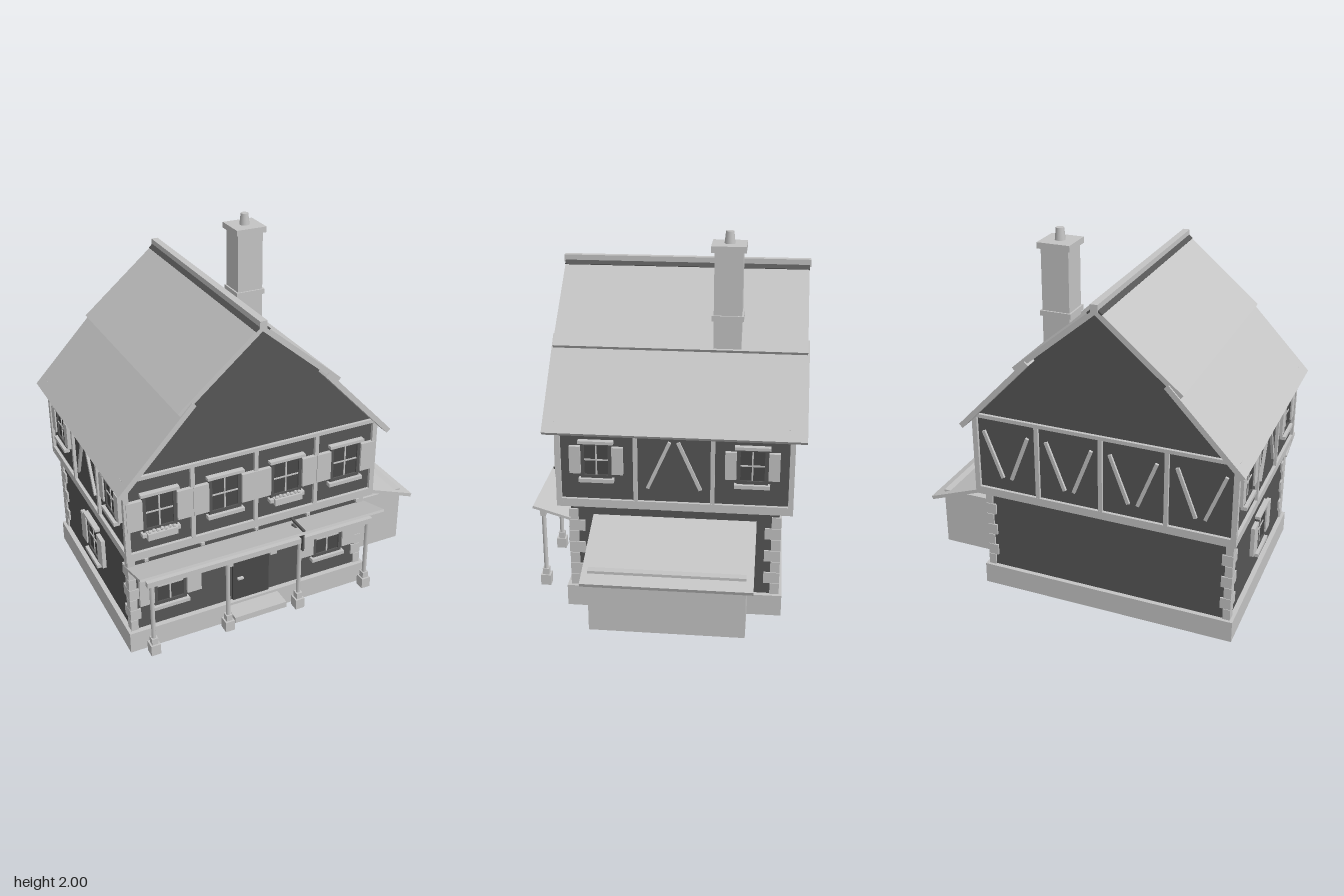
import * as THREE from 'three';

const mat = (name, color) => Object.assign(new THREE.MeshStandardMaterial({ color }), { name });

export function createModel() {
  const light = mat('pale plaster', 0xc4c4c4);
  const dark = mat('dark wall', 0x565656);
  const glass = mat('window glass', 0x484848);
  const CX = -0.185, CZ = -0.04;
  const house = new THREE.Group();
  house.name = 'house';

  function add(name, geo, m, parent = house) {
    const mesh = new THREE.Mesh(geo, m);
    mesh.name = name;
    parent.add(mesh);
    return mesh;
  }
  // box given by its limits
  function box(name, m, x0, x1, y0, y1, z0, z1, parent) {
    const b = add(name, new THREE.BoxGeometry(x1 - x0, y1 - y0, z1 - z0), m, parent);
    b.position.set((x0 + x1) / 2, (y0 + y1) / 2, (z0 + z1) / 2);
    return b;
  }
  // polygon extruded along z
  function prism(name, m, pts, z0, z1) {
    const shape = new THREE.Shape(pts.map(p => new THREE.Vector2(p[0], p[1])));
    const geo = new THREE.ExtrudeGeometry(shape, { depth: z1 - z0, bevelEnabled: false });
    geo.translate(0, 0, z0);
    return add(name, geo, m);
  }
  // sloping sheet whose top runs between two points
  function slab(name, m, a, b, t, z0, z1) {
    const dx = b[0] - a[0], dy = b[1] - a[1], l = Math.hypot(dx, dy);
    let nx = dy / l * t, ny = -dx / l * t;
    if (ny > 0) { nx = -nx; ny = -ny; }
    return prism(name, m, [a, b, [b[0] + nx, b[1] + ny], [a[0] + nx, a[1] + ny]], z0, z1);
  }
  // wall frame: local x runs along the wall, local z points outward
  function wallFace(name, turn, dist) {
    const g = new THREE.Group();
    g.name = name;
    g.rotation.y = turn;
    g.position.set(CX + Math.sin(turn) * dist, 0, CZ + Math.cos(turn) * dist);
    house.add(g);
    return g;
  }
  function windowUnit(face, u, y, w, h, sw, flowers) {
    const g = new THREE.Group();
    g.name = 'window';
    g.position.set(u, y, 0);
    face.add(g);
    const a = w / 2, b = h / 2;
    box('glass', glass, -a, a, -b, b, -0.01, 0.006, g);
    for (const s of [-1, 1]) {
      box('frameSide', dark, s * (a - 0.009) - 0.009, s * (a - 0.009) + 0.009, -b, b, 0, 0.014, g);
      box('frameRail', dark, -a, a, s * (b - 0.009) - 0.009, s * (b - 0.009) + 0.009, 0, 0.014, g);
      const c = s * (a + sw / 2);
      box('shutter', light, c - sw / 2 + 0.002, c + sw / 2 - 0.002, -b + 0.025, b - 0.025, 0, 0.022, g);
    }
    box('mullion', light, -0.004, 0.004, -b, b, 0, 0.01, g);
    box('glazingBar', light, -a, a, -0.004, 0.004, 0, 0.01, g);
    box('header', light, -a - 0.012, a + 0.012, b - 0.006, b + 0.01, 0, 0.03, g);
    box('sill', light, -a - 0.012, a + 0.012, -b - 0.02, -b, 0, 0.032, g);
    if (flowers) {
      box('flowerBox', light, -a + 0.01, a - 0.01, -b - 0.032, -b + 0.005, 0.01, 0.05, g);
      for (let i = 0; i < 7; i++) {
        add('flower', new THREE.IcosahedronGeometry(0.011), light, g)
          .position.set((i - 3) * 0.022, -b + 0.01 + (i % 2) * 0.005, 0.035);
      }
    }
  }
  function brace(face, u0, y0, u1, y1) {
    const m = add('brace', new THREE.BoxGeometry(0.018, Math.hypot(u1 - u0, y1 - y0), 0.016), light, face);
    m.position.set((u0 + u1) / 2, (y0 + y1) / 2, 0.006);
    m.rotation.z = -Math.atan2(u1 - u0, y1 - y0);
  }

  // plinth, walls
  box('plinth', light, -0.897, 0.527, 0, 0.12, -0.615, 0.54);
  box('groundFloor', dark, CX - 0.685, CX + 0.685, 0.12, 0.6, CZ - 0.55, CZ + 0.55);
  box('upperFloor', dark, CX - 0.7, CX + 0.7, 0.602, 1.07, CZ - 0.6, CZ + 0.6);

  // corner stones
  for (const sx of [-1, 1]) for (const sz of [-1, 1]) for (let i = 0; i < 7; i++) {
    const w = i % 2 ? 0.058 : 0.04, d = i % 2 ? 0.085 : 0.05;
    const q = add('cornerStone', new THREE.BoxGeometry(w, 0.062, d), light);
    q.position.set(CX + sx * (0.695 - w / 2), 0.152 + i * 0.065, CZ + sz * (0.56 - d / 2));
  }

  // upper timber frame on all four sides
  const H = Math.PI / 2;
  const uppers = [0, H, 2 * H, 3 * H].map((turn, i) => {
    const along = i % 2 ? 0.617 : 0.718;
    const face = wallFace('upperFace', turn, i % 2 ? 0.7 : 0.6);
    box('sillBeam', light, -along, along, 0.6, 0.645, -0.02, 0.017, face);
    box('topPlate', light, -along, along, 1.055, 1.075, -0.02, 0.017, face);
    const studs = i % 2 ? [-0.2, 0.2] : [-0.352, 0, 0.352];
    for (const u of [...studs, -along + 0.011, along - 0.011])
      box('stud', light, u - 0.011, u + 0.011, 0.64, 1.06, -0.01, 0.0165, face);
    return face;
  });
  [-0.53, -0.175, 0.175, 0.53].forEach((u, i) => {
    windowUnit(uppers[0], u, 0.86, 0.18, 0.215, 0.088, i % 2 === 0);
    for (const s of [-1, 1]) brace(uppers[2], u + s * 0.025, 0.72, u + s * 0.125, 0.98);
  });
  for (const face of [uppers[1], uppers[3]]) for (const s of [-1, 1]) {
    windowUnit(face, s * 0.403, 0.868, 0.16, 0.2, 0.062);
    brace(face, s * 0.137, 0.72, s * 0.022, 0.98);
  }

  // ground floor windows
  const front = wallFace('groundFront', 0, 0.55);
  windowUnit(front, -0.47, 0.357, 0.18, 0.225, 0.085);
  windowUnit(front, 0.475, 0.357, 0.18, 0.225, 0.085);
  windowUnit(wallFace('groundSide', -H, 0.685), 0, 0.357, 0.18, 0.225, 0.085);

  // door with stone arch
  box('door', glass, -0.108, 0.108, 0.12, 0.445, -0.01, 0.012, front);
  box('doorHandle', light, -0.085, -0.05, 0.255, 0.265, 0.01, 0.028, front);
  for (let i = 0; i < 9; i++) {
    const a0 = i * Math.PI / 9 + 0.02, a1 = (i + 1) * Math.PI / 9 - 0.02;
    const s = new THREE.Shape();
    s.absarc(0, 0.355, 0.152, a0, a1, false);
    s.absarc(0, 0.355, 0.112, a1, a0, true);
    add('archStone', new THREE.ExtrudeGeometry(s, { depth: 0.025, bevelEnabled: false, curveSegments: 3 }), light, front);
  }
  box('doorStep', light, -0.34, -0.03, 0.07, 0.105, 0.53, 0.645);

  // porch
  for (const x of [-0.815, -0.395, 0.025, 0.445]) {
    box('postBase', light, x - 0.026, x + 0.026, 0.08, 0.14, 0.645, 0.7);
    box('postPlinth', light, x - 0.017, x + 0.017, 0.14, 0.175, 0.655, 0.69);
    add('porchPost', new THREE.CylinderGeometry(0.012, 0.012, 0.36, 8), light).position.set(x, 0.325, 0.672);
  }
  box('porchBeam', light, -0.84, 0.465, 0.5, 0.53, 0.657, 0.687);
  const porch = slab('porchRoof', light, [0.51, 0.525], [0.71, 0.585], 0.014, 0, 1.406);
  porch.rotation.y = -H;
  porch.position.x = 0.52;
  for (let i = 0; i < 5; i++) box('joistEnd', light, -0.81 + i * 0.308, -0.79 + i * 0.308, 0.585, 0.602, 0.5, 0.585);
  box('hangingSign', dark, 0.026, 0.036, 0.46, 0.56, 0.58, 0.703);
  box('signBracket', dark, 0.025, 0.037, 0.58, 0.592, 0.51, 0.705);

  // gable ends, one solid under the roof
  prism('gable', dark, [[CX - 0.7, 1.07], [CX + 0.7, 1.07], [CX + 0.37, 1.425], [CX, 1.735], [CX - 0.37, 1.425]], CZ - 0.6, CZ + 0.6);

  // two-pitch roof
  for (const s of [-1, 1]) {
    const p = (x, y) => [CX + s * x, y];
    slab('upperRoof', light, p(0, 1.767), p(0.442, 1.395), 0.028, -0.705, 0.627);
    slab('lowerRoof', light, p(0.37, 1.44), p(0.76, 1.03), 0.028, -0.714, 0.635);
    slab('ridgeFlashing', dark, p(0.016, 1.759), p(0.041, 1.738), 0.009, -0.706, 0.628);
  }
  box('ridgeCap', light, CX - 0.019, CX + 0.019, 1.745, 1.785, -0.714, 0.635);

  // chimney
  box('chimney', light, 0.1, 0.25, 1.4, 1.906, -0.362, -0.217);
  box('chimneyBand', light, 0.09, 0.26, 1.55, 1.578, -0.372, -0.207);
  box('chimneyCap', light, 0.086, 0.264, 1.905, 1.937, -0.378, -0.2);
  add('chimneyPot', new THREE.CylinderGeometry(0.021, 0.028, 0.065, 12), light).position.set(0.175, 1.9675, -0.29);

  // side shed
  box('shed', light, 0.49, 0.877, 0.08, 0.42, -0.434, 0.36);
  slab('shedRoof', light, [0.49, 0.547], [0.942, 0.382], 0.02, -0.472, 0.39);
  return house;
}
